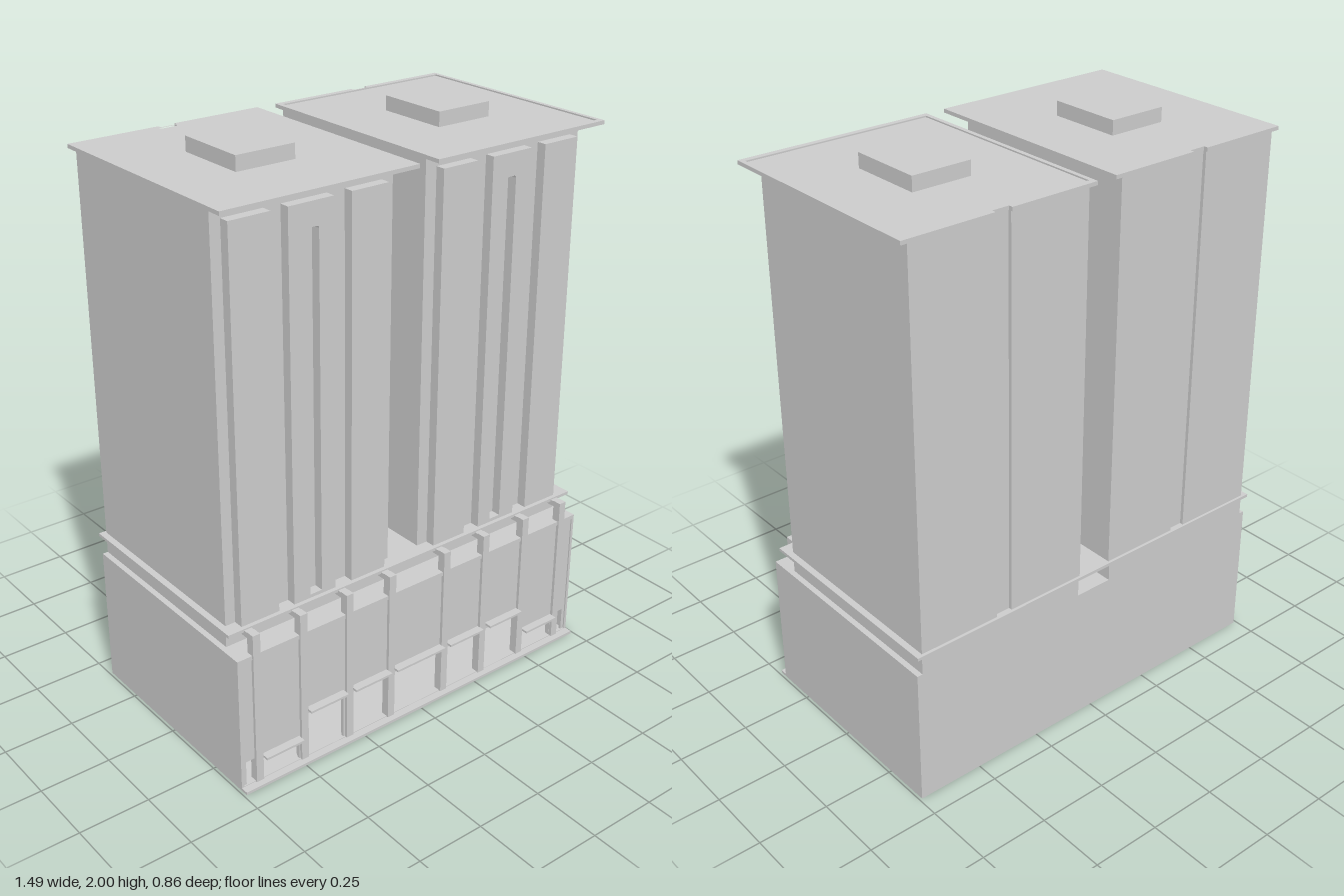
import * as THREE from 'three';

const grey = new THREE.MeshStandardMaterial({ color: 0xcccccc });

export function createModel() {
  const model = new THREE.Group();

  const add = (parent, name, geometry) => {
    const mesh = new THREE.Mesh(geometry, grey);
    mesh.name = name;
    parent.add(mesh);
    return mesh;
  };

  // Box given by its limits on each axis
  const box = (parent, name, x0, x1, y0, y1, z0, z1) => {
    const mesh = add(parent, name, new THREE.BoxGeometry(Math.abs(x1 - x0), y1 - y0, z1 - z0));
    mesh.position.set((x0 + x1) / 2, (y0 + y1) / 2, (z0 + z1) / 2);
    return mesh;
  };

  const outline = (points) => new THREE.Shape(points.map(([x, y]) => new THREE.Vector2(x, y)));
  const rect = (x0, x1, y0, y1) => outline([[x0, y0], [x1, y0], [x1, y1], [x0, y1]]);
  const extrude = (shape, depth) =>
    new THREE.ExtrudeGeometry(shape, { depth, bevelEnabled: false, curveSegments: 6 });

  // Floor plan with a service notch in the back edge, extruded upwards
  const plan = (s, x0, x1, back, front, notchZ) => outline([
    [s * x0, -front], [s * x1, -front], [s * x1, -back],
    [s * 0.42, -back], [s * 0.42, -notchZ], [s * 0.36, -notchZ], [s * 0.36, -back], [s * x0, -back],
  ]);
  const raise = (parent, name, shape, y0, y1) => {
    const mesh = add(parent, name, extrude(shape, y1 - y0).rotateX(-Math.PI / 2));
    mesh.position.y = y0;
  };

  // Podium: hollow shell, open underneath
  const podium = new THREE.Group();
  podium.name = 'podium';
  model.add(podium);
  box(podium, 'podiumRoof', -0.74, 0.74, 0.485, 0.5, -0.42, 0.4);
  box(podium, 'podiumBackWall', -0.74, 0.74, 0, 0.485, -0.42, -0.41);
  for (const s of [-1, 1]) box(podium, 'podiumSideWall', s * 0.74, s * 0.73, 0, 0.485, -0.41, 0.4);

  // Street front with its door openings: centre, height and width of each
  const facade = rect(-0.73, 0.73, 0, 0.485);
  const openings = [[0, 0.2, 0.215]];
  for (const s of [-1, 1]) {
    openings.push([s * 0.21, 0.2, 0.155], [s * 0.3975, 0.2, 0.155],
      [s * 0.58, 0.1, 0.15], [s * 0.7, 0.1, 0.035]);
  }
  for (const [x, h, w] of openings) {
    facade.holes.push(rect(x - w / 2, x + w / 2, 0.012, h));
    if (w > 0.1) box(podium, 'canopy', x - w / 2, x + w / 2, h - 0.004, h + 0.004, 0.39, 0.425);
  }
  add(podium, 'facade', extrude(facade, 0.01)).position.z = 0.385;

  // Entrance floor and the low wall behind the doors
  box(podium, 'entranceFloor', -0.73, 0.73, 0, 0.012, 0.21, 0.4);
  box(podium, 'frontStep', -0.74, 0.74, 0, 0.01, 0.4, 0.428);
  box(podium, 'lobbyWall', -0.66, 0.66, 0.012, 0.2, 0.21, 0.22);

  // Front columns with brackets carrying the terrace edge
  for (const x of [0.12, 0.3, 0.4875, 0.67]) {
    for (const s of [-1, 1]) {
      const c = s * x;
      box(podium, 'column', c - 0.014, c + 0.014, 0, 0.575, 0.375, 0.406);
      box(podium, 'bracket', c - 0.014, c + 0.014, 0.553, 0.573, 0.31, 0.38);
    }
  }

  // Set-back storey with an opening at the back, and the slab over it
  for (const s of [-1, 1]) box(podium, 'upperStorey', s * 0.07, s * 0.72, 0.5, 0.567, -0.42, 0.31);
  box(podium, 'upperStoreyLink', -0.07, 0.07, 0.5, 0.567, -0.2, 0.31);
  box(podium, 'terraceSlab', -0.743, 0.743, 0.567, 0.578, -0.43, 0.36);

  // Two mirrored towers
  for (const s of [-1, 1]) {
    const tower = new THREE.Group();
    tower.name = s > 0 ? 'leftTower' : 'rightTower';
    model.add(tower);
    raise(tower, 'towerBody', plan(s, 0.065, 0.72, -0.42, 0.31, -0.408), 0.578, 1.942);

    // Projecting bays, the middle one with a round-topped groove
    box(tower, 'bay', s * 0.108, s * 0.247, 0.578, 1.9, 0.31, 0.345);
    box(tower, 'bay', s * 0.538, s * 0.683, 0.578, 1.9, 0.31, 0.345);
    const bay = rect(s * 0.313, s * 0.478, 0.578, 1.9);
    const c = s * 0.391, r = 0.023;
    const groove = new THREE.Path();
    groove.moveTo(c - r, 0.59);
    groove.lineTo(c + r, 0.59);
    groove.lineTo(c + r, 1.812);
    groove.quadraticCurveTo(c + r, 1.822, c + r - 0.01, 1.822);
    groove.lineTo(c - r + 0.01, 1.822);
    groove.quadraticCurveTo(c - r, 1.822, c - r, 1.812);
    groove.closePath();
    bay.holes.push(groove);
    add(tower, 'groovedBay', extrude(bay, 0.035)).position.z = 0.31;

    // Overhanging roof with a low rim, and the plant room
    raise(tower, 'roofSlab', plan(s, 0.037, 0.745, -0.425, 0.4, -0.41), 1.942, 1.95);
    const rim = plan(s, 0.037, 0.745, -0.425, 0.4, -0.41);
    rim.holes.push(rect(s * 0.053, s * 0.73, -0.38, 0.404));
    raise(tower, 'roofRim', rim, 1.95, 1.955);
    box(tower, 'plantRoom', s * 0.284, s * 0.498, 1.95, 2, -0.145, 0.12);
  }

  return model;
}
